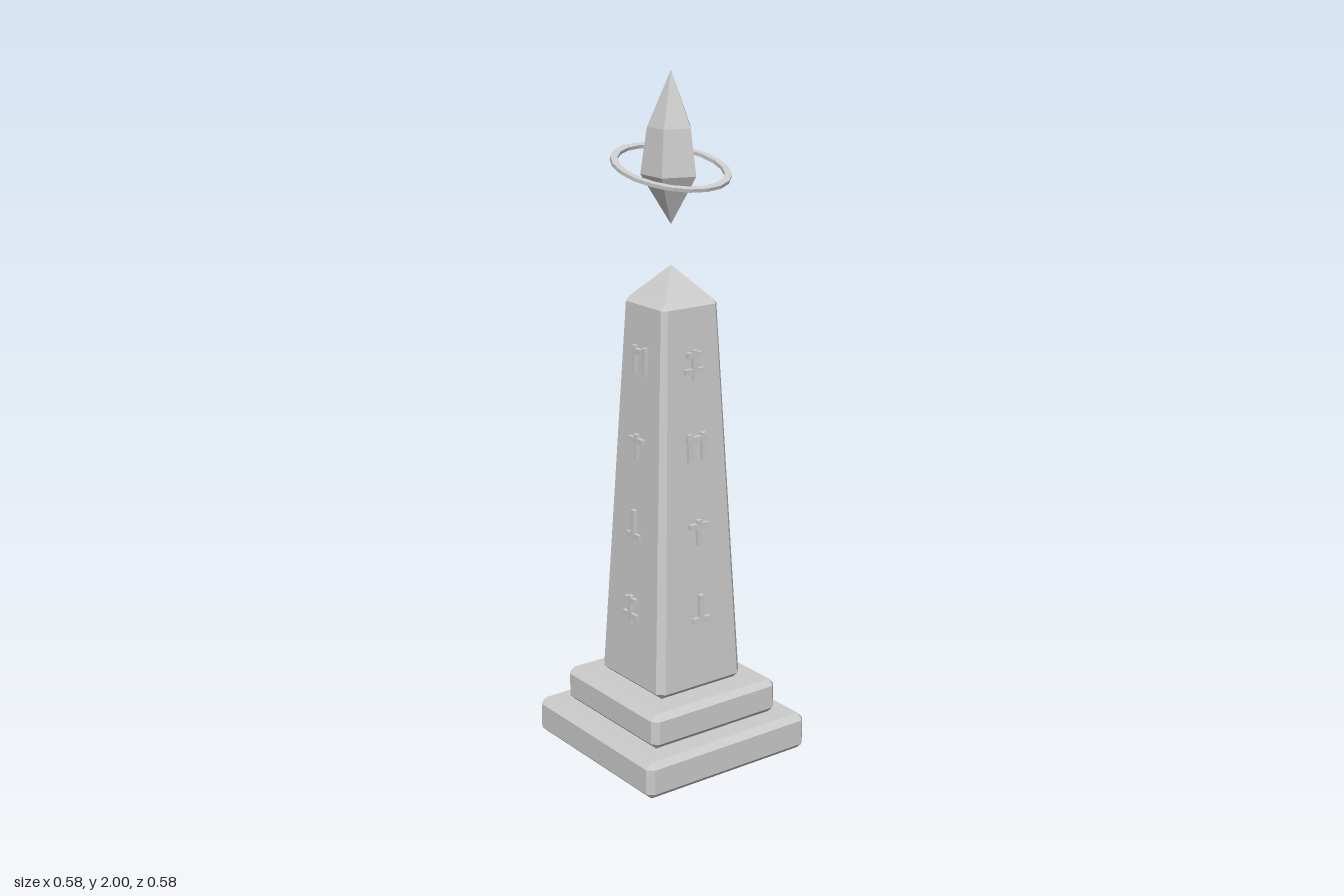
import * as THREE from 'three';

const stone = new THREE.MeshStandardMaterial({ color: 0xcccccc });
stone.name = 'pale stone';

// Square column lofted through rings of [y, half width, corner chamfer], closed at both ends
function loft(rings) {
  const loops = rings.map(([y, h, c]) => {
    const k = h - c;
    return [[k, h], [h, k], [h, -k], [k, -h], [-k, -h], [-h, -k], [-h, k], [-k, h]]
      .map(([x, z]) => new THREE.Vector3(x, y, z));
  });
  const points = [];
  const tri = (a, b, c) => {
    if (new THREE.Triangle(a, b, c).getArea() > 1e-8) points.push(a, b, c);
  };
  for (let r = 0; r < loops.length - 1; r++) {
    const lo = loops[r], hi = loops[r + 1];
    for (let i = 0; i < 8; i++) {
      const j = (i + 1) % 8;
      tri(lo[i], lo[j], hi[j]);
      tri(lo[i], hi[j], hi[i]);
    }
  }
  const first = loops[0], last = loops[loops.length - 1];
  for (let i = 1; i < 7; i++) {
    tri(first[0], first[i + 1], first[i]);
    tri(last[0], last[i], last[i + 1]);
  }
  const geometry = new THREE.BufferGeometry().setFromPoints(points);
  geometry.computeVertexNormals();
  return geometry;
}

function slab(y0, y1, half, b) {
  return loft([[y0, half - b, 0], [y0 + b, half, b], [y1 - b, half, b], [y1, half - b, 0]]);
}

// Flat-faced solid of revolution with few sides
function facetedLathe(profile, sides, start = 0) {
  const points = profile.map(([r, y]) => new THREE.Vector2(r, y));
  const geometry = new THREE.LatheGeometry(points, sides, start).toNonIndexed();
  geometry.computeVertexNormals();
  return geometry;
}

// Rune strokes as [x, y, width, height]
const S = 0.016;
const runes = [
  [[0, 0.0075, S, 0.085], [0, -0.027, 0.062, S]],
  [[0, -0.007, S, 0.075], [0, 0.012, 0.066, S]],
  [[-0.024, 0, S, 0.08], [0.024, 0, S, 0.08], [0, 0.024, 0.07, S]],
  [[0, -0.007, S, 0.085], [0, 0.022, 0.05, S], [0, -0.025, 0.068, S]],
];

export function createModel() {
  const model = new THREE.Group();
  model.name = 'obelisk';
  const add = (parent, geometry, name) => {
    const mesh = new THREE.Mesh(geometry, stone);
    mesh.name = name;
    parent.add(mesh);
    return mesh;
  };

  // Stepped base
  add(model, slab(0, 0.112, 0.288, 0.018), 'lowerStep');
  add(model, slab(0.112, 0.218, 0.225, 0.018), 'upperStep');

  // Tapered shaft and pyramid cap
  add(model, loft([[0.218, 0.132, 0], [0.236, 0.152, 0.021], [1.355, 0.097, 0.014], [1.37, 0.082, 0]]), 'shaft');
  add(model, loft([[1.37, 0.082, 0], [1.46, 0, 0]]), 'cap');

  // Raised runes: the sequence shifts by one on each side
  for (let side = 0; side < 4; side++) {
    const face = new THREE.Group();
    face.name = 'runeColumn';
    face.rotation.y = side * Math.PI / 2;
    for (let slot = 0; slot < 4; slot++) {
      const y = 0.465 + slot * 0.245;
      const surface = 0.152 - (y - 0.236) * 0.0492;
      for (const [sx, sy, w, h] of runes[(slot + side) % 4]) {
        add(face, new THREE.BoxGeometry(w, h, 0.03), 'runeStroke')
          .position.set(sx, y + sy, surface - 0.004);
      }
    }
    model.add(face);
  }

  // Floating five-sided crystal
  add(model, facetedLathe([[0, 1.575], [0.085, 1.715], [0.066, 1.845], [0, 2]], 5, Math.PI / 2), 'crystal');

  // Tilted ring around the crystal
  const ring = add(model, facetedLathe(
    [[0.15, -0.005], [0.17, -0.005], [0.17, 0.005], [0.15, 0.005], [0.15, -0.005]], 20), 'ring');
  ring.position.y = 1.735;
  ring.rotation.x = 0.26;
  return model;
}
